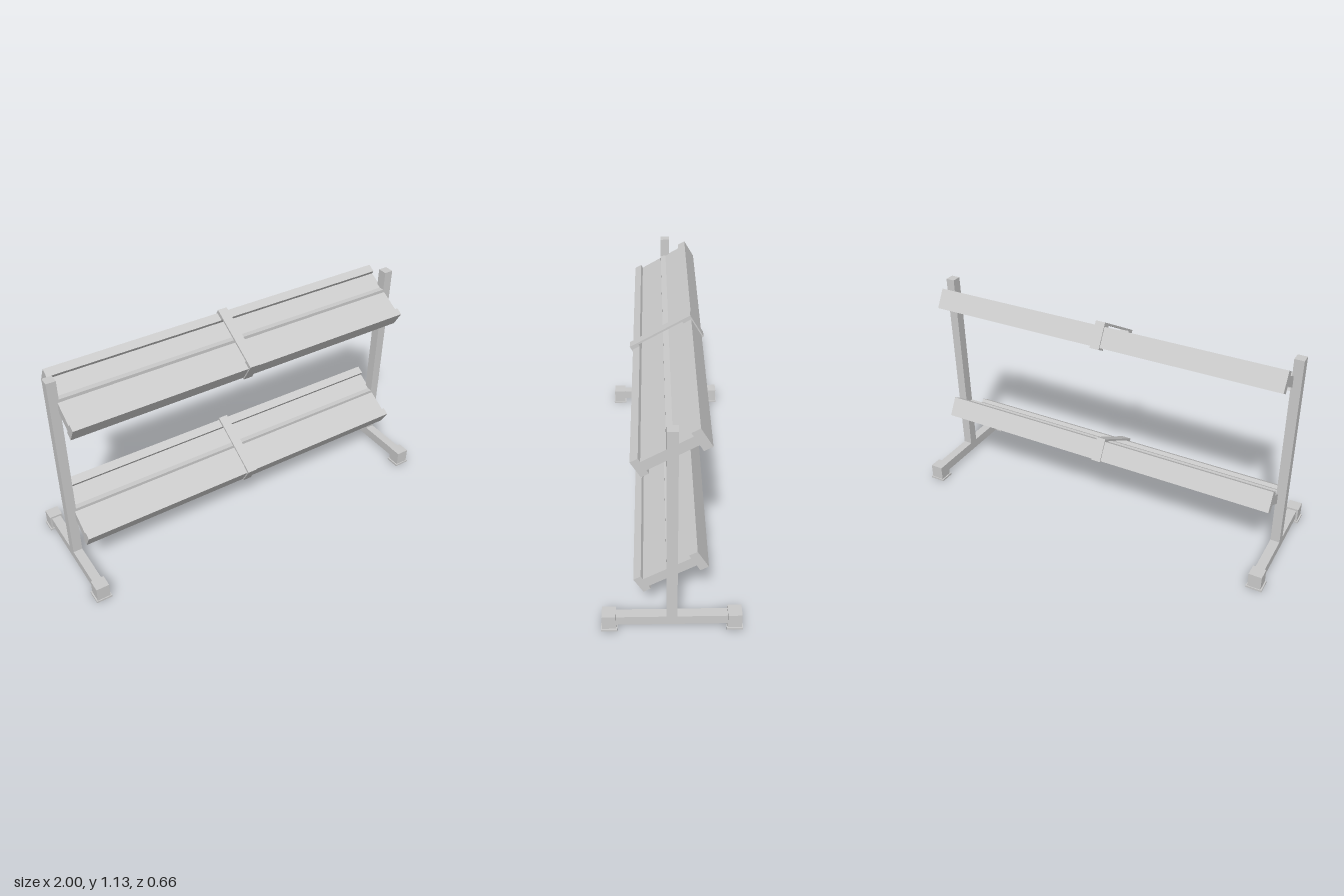
import * as THREE from 'three';

const grey = new THREE.MeshStandardMaterial({ color: 0xcccccc, flatShading: true });

// Box given by its extents on each axis
function box(parent, name, [x0, x1], [y0, y1], [z0, z1]) {
  const mesh = new THREE.Mesh(new THREE.BoxGeometry(x1 - x0, y1 - y0, z1 - z0), grey);
  mesh.position.set((x0 + x1) / 2, (y0 + y1) / 2, (z0 + z1) / 2);
  mesh.name = name;
  parent.add(mesh);
  return mesh;
}

// Side profile (u runs towards the back, v up) extruded across x from x0 to x1
function profile(parent, name, points, x0, x1) {
  const shape = new THREE.Shape(points.map(([u, v]) => new THREE.Vector2(u, v)));
  const geo = new THREE.ExtrudeGeometry(shape, { depth: x1 - x0, bevelEnabled: false });
  geo.rotateY(Math.PI / 2).translate(x0, 0, 0);
  const mesh = new THREE.Mesh(geo, grey);
  mesh.name = name;
  parent.add(mesh);
}

// Tilted tray with raised lips front and back, clasped by a strap in the middle
function createShelf(strapTop, frontPad, backPad) {
  const shelf = new THREE.Group();
  shelf.rotation.x = Math.PI / 6;
  const W = 0.943, f = -0.179, b = 0.154, fi = -0.14, bi = 0.11;
  profile(shelf, 'tray', [
    [f, -0.05], [fi, -0.05], [fi, 0.01], [bi, 0.01], [bi, -0.065], [b, -0.065],
    [b, 0.04], [bi, 0.04], [bi, 0.02], [fi, 0.02], [fi, 0.04], [f, 0.04],
  ], -W, W);

  // Arms that carry the tray at the posts
  for (const s of [-1, 1]) {
    const xs = [s * W, s * (W - 0.01)].sort((p, q) => p - q);
    box(shelf, 'endArm', xs, [-0.03, 0.0195], [-bi, -fi]);
  }

  // Strap over the tray, with hooks around both lips
  const F = -0.185, B = 0.16, under = strapTop - 0.01;
  profile(shelf, 'strap', [
    [F, frontPad], [fi, frontPad], [fi, -0.05], [f, -0.05], [f, 0.04], [fi, 0.04],
    [fi, under], [bi, under], [bi, 0.04], [b, 0.04], [b, -0.065], [bi, -0.065],
    [bi, backPad], [B, backPad], [B, strapTop], [F, strapTop],
  ], -0.025, 0.025);
  return shelf;
}

export function createModel() {
  const model = new THREE.Group();
  model.name = 'twoTierRack';

  // Side frames: post, foot beam, end caps and pads
  for (const s of [-1, 1]) {
    const frame = new THREE.Group();
    frame.name = s > 0 ? 'leftFrame' : 'rightFrame';
    frame.position.x = s * 0.959;
    box(frame, 'post', [-0.024, 0.024], [0.075, 1.125], [-0.025, 0.025]);
    box(frame, 'footBeam', [-0.024, 0.024], [0.025, 0.075], [-0.27, 0.27]);
    for (const e of [-1, 1]) {
      const z = e * 0.293;
      box(frame, 'footCap', [-0.034, 0.034], [0.01, 0.085], [z - 0.033, z + 0.033]);
      box(frame, 'footPad', [-0.041, 0.041], [0, 0.01], [z - 0.038, z + 0.038]);
    }
    model.add(frame);
  }

  // Shelves, each with a square rail between the posts
  const tiers = [
    ['lowerShelf', 0.331, 0.054, -0.058, -0.07],
    ['upperShelf', 1.0, 0.061, -0.061, -0.075],
  ];
  for (const [name, y, ...sizes] of tiers) {
    const tier = new THREE.Group();
    tier.name = name;
    tier.position.y = y;
    tier.add(createShelf(...sizes));
    box(tier, 'rail', [-0.936, 0.936], [-0.025, 0.025], [-0.025, 0.025]);
    model.add(tier);
  }
  return model;
}
